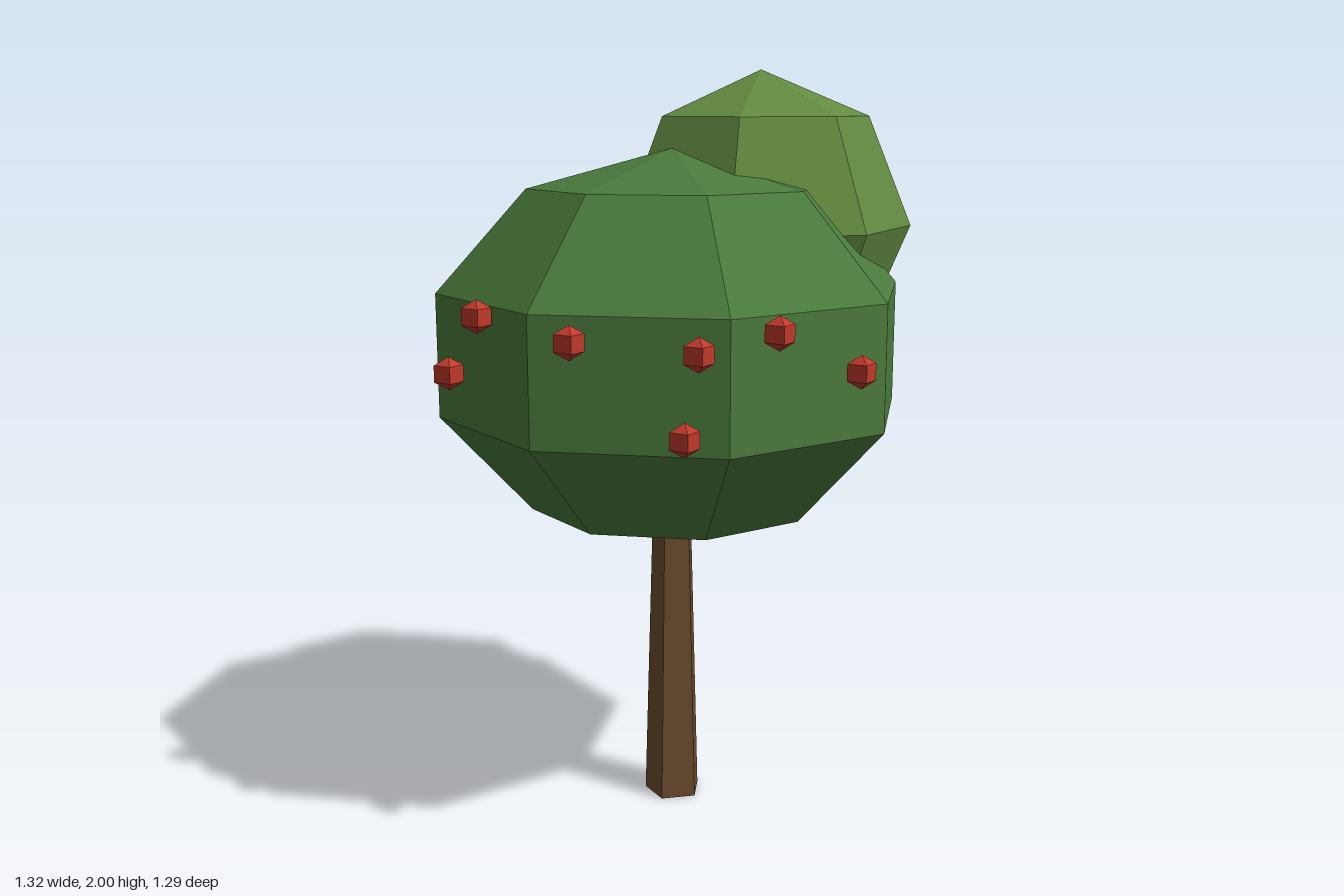
import * as THREE from 'three';

const paint = (color) => new THREE.MeshStandardMaterial({ color, flatShading: true });

export function createModel() {
  const tree = new THREE.Group();
  tree.name = 'fruitTree';

  const add = (name, geometry, material, x, y, z) => {
    const mesh = new THREE.Mesh(geometry, material);
    mesh.name = name;
    mesh.position.set(x, y, z);
    tree.add(mesh);
    return mesh;
  };

  // Five-sided tapering trunk, running up into the crown
  const trunkHeight = 1;
  add('trunk', new THREE.CylinderGeometry(0.051, 0.08, trunkHeight, 5, 1, false, Math.PI),
    paint(0x6b4a2e), -0.015, trunkHeight / 2, -0.02);

  // Main crown: a flattened low-poly ball
  const crown = add('mainCrown', new THREE.SphereGeometry(0.657, 8, 5),
    paint(0x4a7a3c), -0.015, 1.275, -0.02);
  crown.scale.y = 0.8;

  // Smaller, lighter crown with a corner pointing to the back
  add('upperCrown', new THREE.SphereGeometry(0.415, 7, 4, Math.PI * 1.5),
    paint(0x628a40), 0.255, 1.587, -0.145);

  // Fruit scattered over the main crown
  const fruitGeometry = new THREE.SphereGeometry(0.042, 4, 3);
  const fruitMaterial = paint(0xc0392b);
  const fruitSpots = [
    [-0.56, 1.415, 0.27], [-0.625, 1.265, 0.19], [-0.37, 1.38, 0.5],
    [-0.09, 1.36, 0.61], [-0.12, 1.16, 0.595], [0.105, 1.4, 0.59],
    [0.328, 1.29, 0.523], [0.335, 1.155, -0.54], [0.26, 1.51, -0.52],
    [-0.48, 1.155, -0.455],
  ];
  fruitSpots.forEach(([x, y, z], i) => add(`fruit${i + 1}`, fruitGeometry, fruitMaterial, x, y, z));

  return tree;
}
